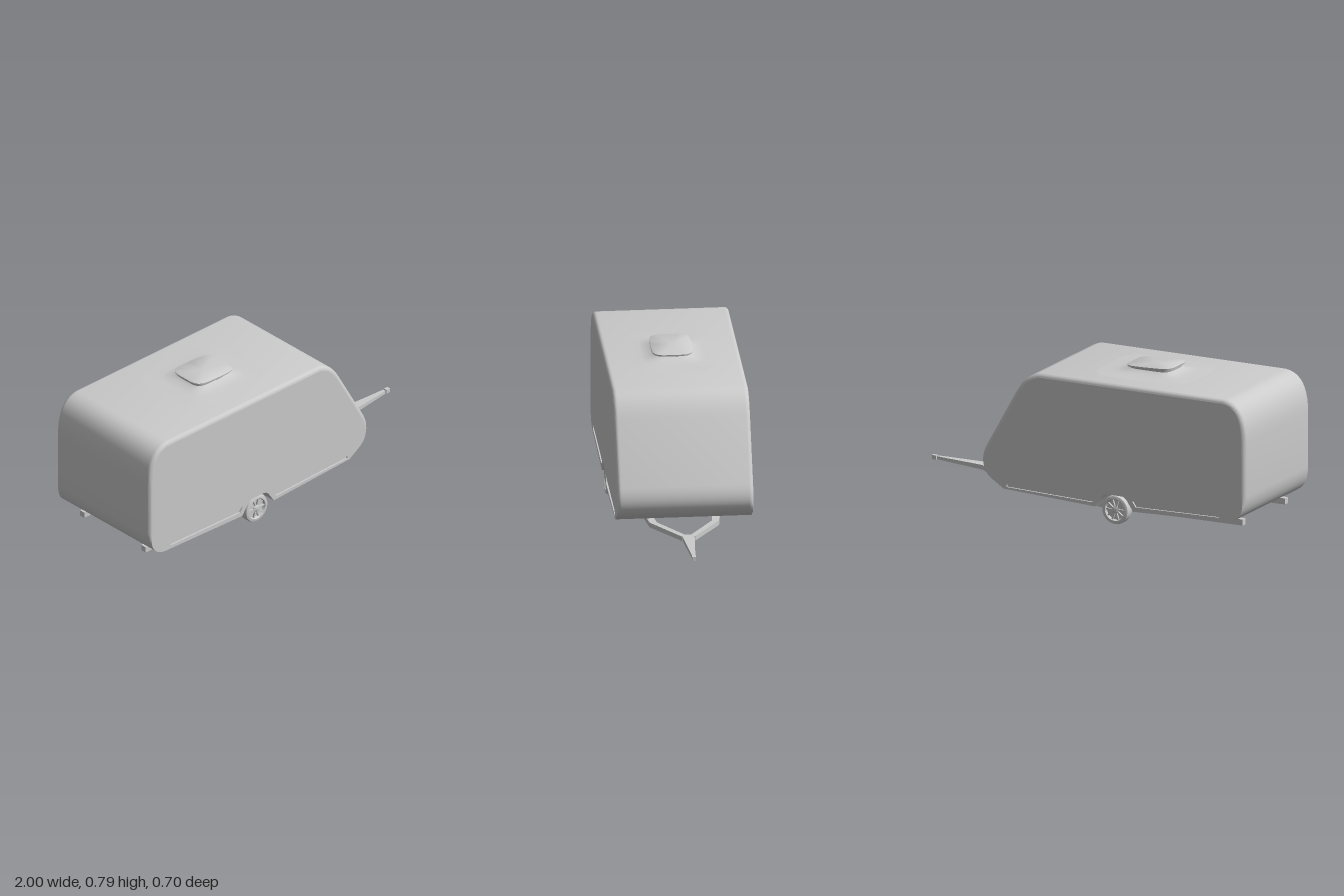
import * as THREE from 'three';
import { toCreasedNormals } from 'three/addons/utils/BufferGeometryUtils.js';

const grey = new THREE.MeshStandardMaterial({ color: 0xcccccc });
const V = (x, y, z) => new THREE.Vector3(x, y, z);

function part(name, geometry, parent) {
  const mesh = new THREE.Mesh(geometry, grey);
  mesh.name = name;
  parent.add(mesh);
  return mesh;
}

// Skin between closed rings; rings run counter-clockwise seen from the far end.
function loft(rings, caps = true, crease = 0.6) {
  const pos = [];
  const tri = (...pts) => pts.forEach((p) => pos.push(p.x, p.y, p.z));
  const n = rings[0].length;
  for (let i = 0; i + 1 < rings.length; i++) {
    const a = rings[i], b = rings[i + 1];
    for (let j = 0; j < n; j++) {
      const k = (j + 1) % n;
      tri(a[j], a[k], b[k]);
      tri(a[j], b[k], b[j]);
    }
  }
  if (caps) {
    [rings[0], rings[rings.length - 1]].forEach((ring, end) => {
      const c = ring.reduce((s, p) => s.add(p), V(0, 0, 0)).divideScalar(n);
      ring.forEach((p, j) => {
        const q = ring[(j + 1) % n];
        if (end) tri(c, p, q); else tri(c, q, p);
      });
    });
  }
  const g = new THREE.BufferGeometry();
  g.setAttribute('position', new THREE.Float32BufferAttribute(pos, 3));
  return toCreasedNormals(g, crease);
}

// Side outline of the cabin, with the wheel arch cut into the floor line
function cabinOutline() {
  const s = new THREE.Shape();
  s.moveTo(-0.9, 0.1);
  s.lineTo(-0.35, 0.083);
  s.lineTo(-0.315, 0.135);
  s.quadraticCurveTo(-0.3, 0.155, -0.28, 0.155);
  s.lineTo(-0.2, 0.155);
  s.quadraticCurveTo(-0.18, 0.155, -0.165, 0.135);
  s.lineTo(-0.13, 0.083);
  s.lineTo(0.4, 0.108);
  s.lineTo(0.475, 0.155);
  s.bezierCurveTo(0.53, 0.19, 0.545, 0.25, 0.51, 0.32);
  s.lineTo(0.335, 0.63);
  s.bezierCurveTo(0.29, 0.705, 0.255, 0.73, 0.2, 0.745);
  s.lineTo(-0.87, 0.745);
  s.bezierCurveTo(-0.96, 0.735, -1, 0.66, -1, 0.53);
  s.lineTo(-1, 0.24);
  s.bezierCurveTo(-0.995, 0.17, -0.965, 0.11, -0.9, 0.1);
  return s.getPoints(10).slice(0, -1);
}

// Pulls the outline inward, fading out towards the sharp lower edge
function inset(points, amount) {
  const n = points.length;
  return points.map((p, i) => {
    const a = p.clone().sub(points[(i + n - 1) % n]).normalize();
    const b = points[(i + 1) % n].clone().sub(p).normalize();
    const t = a.add(b).normalize();
    const d = amount * THREE.MathUtils.smoothstep(p.y, 0.14, 0.26);
    return new THREE.Vector2(p.x - t.y * d, p.y + t.x * d);
  });
}

function addCabin(root) {
  const outline = cabinOutline();
  const half = 0.35, round = 0.022, steps = 5;
  const rings = [];
  const ring = (sign, k) => {
    const a = (k / steps) * Math.PI / 2;
    const z = sign * (half - round + round * Math.sin(a));
    rings.push(inset(outline, round * (1 - Math.cos(a))).map((p) => V(p.x, p.y, z)));
  };
  for (let k = steps; k >= 0; k--) ring(-1, k);
  for (let k = 0; k <= steps; k++) ring(1, k);
  part('cabinShell', loft(rings, false), root);

  // Side walls with sunken skirt panels
  const panels = [
    [[-0.85, 0.117], [-0.365, 0.108], [-0.345, 0.138], [-0.855, 0.141]],
    [[-0.115, 0.103], [0.385, 0.119], [0.385, 0.13], [0.36, 0.143], [-0.135, 0.143]],
  ].map((pts) => pts.map((p) => new THREE.Vector2(...p)));
  for (const sign of [1, -1]) {
    const side = new THREE.Group();
    side.name = sign > 0 ? 'frontSideWall' : 'backSideWall';
    side.scale.z = sign;
    root.add(side);
    const wall = new THREE.Shape(inset(outline, round));
    wall.holes = panels.map((pts) => new THREE.Path(pts));
    part('sideWall', new THREE.ShapeGeometry(wall), side).position.z = half;
    for (const pts of panels) {
      const at = (z) => pts.map((p) => V(p.x, p.y, z));
      part('skirtRecessEdge', loft([at(half), at(half - 0.01)], false), side);
      part('skirtRecess', new THREE.ShapeGeometry(new THREE.Shape(pts)), side).position.z = half - 0.01;
    }
  }
}

// Roof hatch: a flared base, a narrow neck and a slightly sloping lid
function addHatch(root) {
  const levels = [
    [0.3, 0.26, 0.744], [0.19, 0.16, 0.748], [0.135, 0.11, 0.754], [0.12, 0.096, 0.764],
    [0.122, 0.098, 0.77], [0.132, 0.105, 0.774], [0.134, 0.106, 0.782], [0.127, 0.1, 0.786],
  ];
  const power = (v) => Math.sign(v) * Math.abs(v) ** 0.45;
  const rings = levels.map(([hx, hz, y], i) => Array.from({ length: 48 }, (_, j) => {
    const a = (j / 48) * Math.PI * 2;
    const x = hx * power(Math.sin(a));
    return V(-0.297 + x, y - (i > 3 ? x * 0.035 : 0), hz * power(Math.cos(a)));
  }));
  part('roofHatch', loft(rings, true, 0.7), root);
}

// Box-section bar through [x, y, z, halfWidth, halfHeight] stations
function bar(stations) {
  return loft(stations.map(([x, y, z, w, h]) => [
    V(x, y - h, z - w), V(x, y + h, z - w), V(x, y + h, z + w), V(x, y - h, z + w),
  ]), true, 0.4);
}

function addChassis(root) {
  for (const s of [1, -1]) {
    part(s > 0 ? 'frontChassisRail' : 'backChassisRail', bar([
      [-0.93, 0.076, s * 0.23, 0.016, 0.016],
      [-0.36, 0.072, s * 0.23, 0.016, 0.015],
      [-0.12, 0.065, s * 0.23, 0.016, 0.014],
      [0.45, 0.091, s * 0.16, 0.019, 0.013],
      [0.69, 0.104, s * 0.016, 0.018, 0.012],
    ]), root);
  }
  part('drawbar', bar([
    [0.66, 0.103, 0, 0.032, 0.012],
    [0.72, 0.106, 0, 0.029, 0.012],
    [0.97, 0.115, 0, 0.009, 0.008],
  ]), root);
  const coupling = part('coupling', new THREE.BoxGeometry(0.025, 0.022, 0.02), root);
  coupling.position.set(0.9875, 0.115, 0);
  const axle = part('axle', new THREE.CylinderGeometry(0.011, 0.011, 0.6, 16), root);
  axle.rotation.x = Math.PI / 2;
  axle.position.set(-0.24, 0.07, 0);
}

// Wheel facing +z, centred on its own axle
function makeWheel() {
  const wheel = new THREE.Group();
  const spin = (pts) => {
    const g = new THREE.LatheGeometry(pts.map((p) => new THREE.Vector2(...p)), 40);
    return toCreasedNormals(g.rotateX(Math.PI / 2), 0.6);
  };
  part('tyre', spin([
    [0, -0.027], [0.066, -0.027], [0.073, -0.024], [0.076, -0.016], [0.076, 0.016],
    [0.073, 0.024], [0.066, 0.027], [0.057, 0.027], [0.054, 0.023], [0.052, 0.012], [0, 0.012],
  ]), wheel);
  part('hub', spin([[0.02, 0.01], [0.02, 0.022], [0.015, 0.025], [0, 0.025]]), wheel);
  for (let i = 0; i < 10; i++) {
    const spoke = new THREE.BoxGeometry(0.038, 0.008, 0.01);
    spoke.translate(0.035, 0, 0.017).rotateZ((i / 10) * Math.PI * 2);
    part('spoke', spoke, wheel);
  }
  return wheel;
}

export function createModel() {
  const root = new THREE.Group();
  root.name = 'caravan';
  addCabin(root);
  addHatch(root);
  addChassis(root);
  for (const s of [1, -1]) {
    const wheel = makeWheel();
    wheel.name = s > 0 ? 'frontWheel' : 'backWheel';
    wheel.position.set(-0.24, 0.076, s * 0.317);
    if (s < 0) wheel.rotation.y = Math.PI;
    root.add(wheel);
  }
  return root;
}
